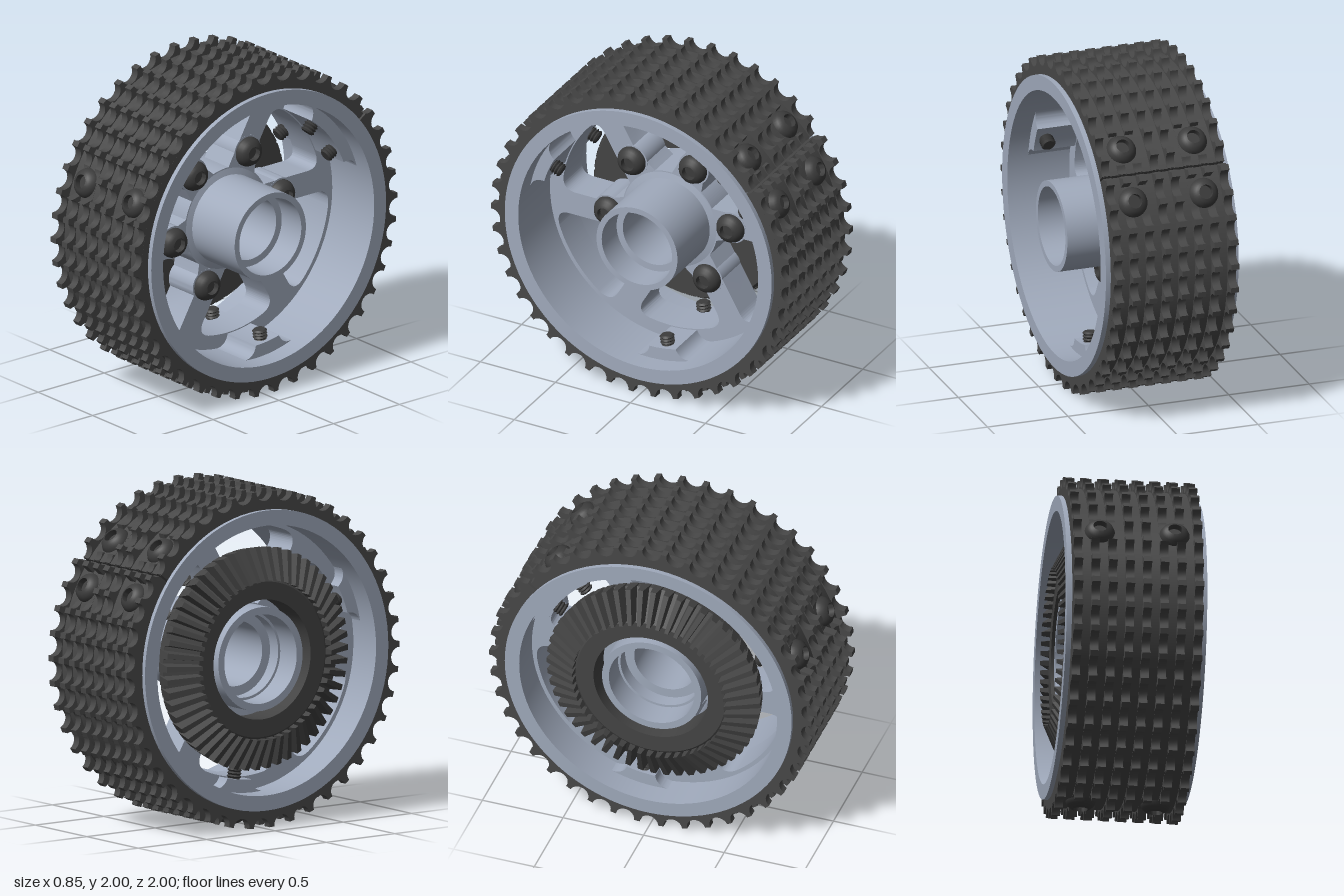
import * as THREE from 'three';
import { toCreasedNormals } from 'three/addons/utils/BufferGeometryUtils.js';

const rad = THREE.MathUtils.degToRad, deg = THREE.MathUtils.radToDeg;
const mat = (name, color) => new THREE.MeshStandardMaterial({ name, color });
const polar = (r, angle) => new THREE.Vector2(r * Math.cos(rad(angle)), r * Math.sin(rad(angle)));

// Everything is built with the axle along local z, then turned onto x.
const SEAM = 37.5;
const SCREW_ANGLES = [27.5, 47.5, 157.5, 277.5];

function lathe(points, segments) {
  const pts = points.map(([r, z]) => new THREE.Vector2(r, z));
  return toCreasedNormals(new THREE.LatheGeometry(pts, segments), 0.5);
}

function extrude(shape, z0, z1, curveSegments = 48) {
  const geo = new THREE.ExtrudeGeometry(shape, { depth: z1 - z0, bevelEnabled: false, curveSegments });
  geo.translate(0, 0, z0);
  return toCreasedNormals(geo, 0.5);
}

// Tread rib outline: a split ring with round scallops, lowered around screw heads
function ribShape(relieved) {
  const pts = [], step = 360 / 42;
  for (let k = 0; k <= 42; k++) {
    const c = 1.57 + k * step;
    for (let j = 0; j <= 10; j++) {
      const t = Math.PI * j / 10;
      const tang = -0.058 * Math.cos(t), radial = 0.998 - 0.058 * Math.sin(t);
      const offset = c + deg(Math.atan2(tang, radial));
      if (offset < 0.4 || offset > 359.6) continue;
      const a = SEAM + offset;
      const near = SCREW_ANGLES.some(s => Math.abs(((a - s + 540) % 360) - 180) < 5.8);
      pts.push(polar(relieved && near ? 0.936 : Math.hypot(tang, radial), a));
    }
  }
  for (let i = 0; i <= 90; i++) pts.push(polar(0.86, SEAM + 359.6 - i * 359.2 / 90));
  return new THREE.Shape(pts);
}

function sector(r0, r1, a0, a1) {
  const s = new THREE.Shape();
  s.absarc(0, 0, r1, rad(a0), rad(a1), false);
  s.absarc(0, 0, r0, rad(a1), rad(a0), true);
  s.closePath();
  return s;
}

// Screw pad section: a raised land that flares into the rim on both sides
function padShape(mid, half) {
  const s = new THREE.Shape(), flare = half + 7;
  const a = polar(0.802, mid + flare), ca = polar(0.8, mid + half + 1), b = polar(0.722, mid + half);
  const c = polar(0.722, mid - half), cd = polar(0.8, mid - half - 1), d = polar(0.802, mid - flare);
  s.absarc(0, 0, 0.83, rad(mid - flare), rad(mid + flare), false);
  s.lineTo(a.x, a.y);
  s.quadraticCurveTo(ca.x, ca.y, b.x, b.y);
  s.absarc(0, 0, 0.722, rad(mid + half), rad(mid - half), true);
  s.lineTo(c.x, c.y);
  s.quadraticCurveTo(cd.x, cd.y, d.x, d.y);
  s.closePath();
  return s;
}

// Web opening between two slanted spokes: narrow at the hub, rounded outer corners
function windowHole(mid, R) {
  const inner = 0.315, knee = 0.47, trim = 7, near = R - 0.09;
  const low = r => mid - 37.5 + deg(Math.asin(0.147 / r));
  const high = mid + 22.3;
  const line = (path, r, angle) => { const q = polar(r, angle); path.lineTo(q.x, q.y); };
  const c = polar(R, low(R)), d = polar(R, low(R) + trim);
  const e = polar(R, high), f = polar(near, high), start = polar(inner, mid - 10);
  const p = new THREE.Path();
  p.moveTo(start.x, start.y);
  line(p, knee, low(knee));
  line(p, near, low(near));
  p.quadraticCurveTo(c.x, c.y, d.x, d.y);
  p.absarc(0, 0, R, rad(low(R) + trim), rad(high - trim), false);
  p.quadraticCurveTo(e.x, e.y, f.x, f.y);
  line(p, knee, high);
  line(p, inner, mid + 11);
  p.absarc(0, 0, inner, rad(mid + 11), rad(mid - 10), true);
  return p;
}

// Bevel gear tooth: a box tapered from root to crest and along the cone
function toothGeometry(count) {
  const geo = new THREE.BoxGeometry(1, 1, 1), pos = geo.attributes.position;
  for (let i = 0; i < pos.count; i++) {
    const outer = pos.getX(i) > 0, crest = pos.getZ(i) < 0;
    const r = outer ? (crest ? 0.662 : 0.64) : 0.47;
    const z = crest ? (outer ? -0.33 : -0.425) : (outer ? -0.225 : -0.345);
    const width = 2 * Math.PI * r / count * (crest ? 0.42 : 0.75);
    pos.setXYZ(i, r, pos.getY(i) * width, z);
  }
  geo.computeVertexNormals();
  return geo;
}

export function createModel() {
  const metal = mat('blue grey metal', 0xa0aabc);
  const rubber = mat('tread rubber', 0x484848);
  const steel = mat('gear steel', 0x444444);
  const black = mat('fastener steel', 0x3c3c3c);

  const wheel = new THREE.Group();
  wheel.name = 'wheel';
  const add = (parent, name, geo, material) => {
    const m = new THREE.Mesh(geo, material);
    m.name = name;
    parent.add(m);
    return m;
  };
  const addTurned = (parent, name, points, material) => {
    add(parent, name, lathe(points, 96), material).rotation.x = Math.PI / 2;
  };

  // Tread: split band with eight scalloped ribs
  const tread = new THREE.Group();
  tread.name = 'tread';
  wheel.add(tread);
  add(tread, 'treadBand', extrude(sector(0.85, 0.935, SEAM + 0.4, SEAM + 359.6), -0.385, 0.375, 120), rubber);
  const plain = extrude(ribShape(false), -0.025, 0.025);
  const relieved = extrude(ribShape(true), -0.025, 0.025);
  for (let i = 0; i < 8; i++) {
    const cut = [1, 2, 5, 6].includes(i);
    add(tread, 'treadRib', cut ? relieved : plain, rubber).position.z = -0.36 + i * 0.1014;
  }

  // Rim with a flange at each end
  addTurned(wheel, 'rim', [[0.8, -0.42], [0.89, -0.42], [0.89, -0.393], [0.85, -0.393], [0.85, 0.375],
    [0.89, 0.375], [0.89, 0.405], [0.8, 0.405], [0.8, -0.42]], metal);

  // Spoked web, alternating tall and short openings
  const web = new THREE.Shape();
  web.absarc(0, 0, 0.82, 0, Math.PI * 2, false);
  const bore = new THREE.Path();
  bore.absarc(0, 0, 0.25, 0, Math.PI * 2, true);
  web.holes.push(bore);
  for (let i = 0; i < 6; i++) web.holes.push(windowHole(37.5 + i * 60, i % 2 ? 0.775 : 0.715));
  add(wheel, 'spokedWeb', extrude(web, -0.2, 0.02), metal);

  // Hub tube with stepped bore
  addTurned(wheel, 'hub', [[0.265, -0.36], [0.308, -0.36], [0.308, 0.02], [0.27, 0.03], [0.27, 0.42],
    [0.235, 0.42], [0.235, 0.24], [0.193, 0.24], [0.193, -0.12], [0.265, -0.12], [0.265, -0.36]], metal);

  // Pads inside the rim under the tread screws
  for (const [mid, half] of [[37.5, 16], [157.5, 7], [277.5, 7]]) {
    add(wheel, 'screwPad', extrude(padShape(mid, half), -0.28, 0.28, 16), metal);
  }

  // Bevel gear on the back of the web
  const gear = new THREE.Group();
  gear.name = 'bevelGear';
  wheel.add(gear);
  addTurned(gear, 'gearBody', [[0.355, -0.375], [0.46, -0.375], [0.637, -0.255], [0.637, -0.225],
    [0.62, -0.2], [0.355, -0.2], [0.355, -0.375]], steel);
  const teeth = 52, tooth = toothGeometry(teeth);
  for (let i = 0; i < teeth; i++) {
    add(gear, 'gearTooth', tooth, steel).rotation.z = i / teeth * Math.PI * 2;
  }

  // Button-head screws with socket and threaded shank
  const head = lathe([[0, 0], [0.09, 0], [0.089, 0.015], [0.077, 0.04], [0.058, 0.056],
    [0.042, 0.062], [0.042, 0.025], [0, 0.025]], 32);
  const thread = [[0, -0.26], [0.034, -0.26]];
  for (let i = 0; i < 13; i++) thread.push([0.044, -0.25 + i * 0.019], [0.034, -0.24 + i * 0.019]);
  thread.push([0.034, 0]);
  const shank = lathe(thread, 20);
  const screw = name => {
    const g = new THREE.Group();
    g.name = name;
    add(g, 'screwHead', head, black);
    add(g, 'screwShank', shank, black);
    wheel.add(g);
    return g;
  };

  // Web bolts, each on a round boss
  const bossShape = new THREE.Shape();
  bossShape.absarc(0, 0, 0.1, 0, Math.PI * 2, false);
  const boss = extrude(bossShape, -0.2, 0.021, 32);
  for (let i = 0; i < 6; i++) {
    const p = polar(0.412, 7.5 + i * 60), bolt = screw('webBolt');
    bolt.position.set(p.x, p.y, 0.021);
    bolt.rotation.x = Math.PI / 2;
    add(wheel, 'boltBoss', boss, metal).position.set(p.x, p.y, 0);
  }

  // Radial screws clamping the tread to the rim
  for (const a of SCREW_ANGLES) {
    for (const z of [-0.225, 0.215]) {
      const p = polar(0.92, a), s = screw('treadScrew');
      s.position.set(p.x, p.y, z);
      s.rotation.z = rad(a) - Math.PI / 2;
    }
  }

  wheel.rotation.y = Math.PI / 2;
  wheel.position.y = 1;
  const model = new THREE.Group();
  model.name = 'treadedWheel';
  model.add(wheel);
  return model;
}
